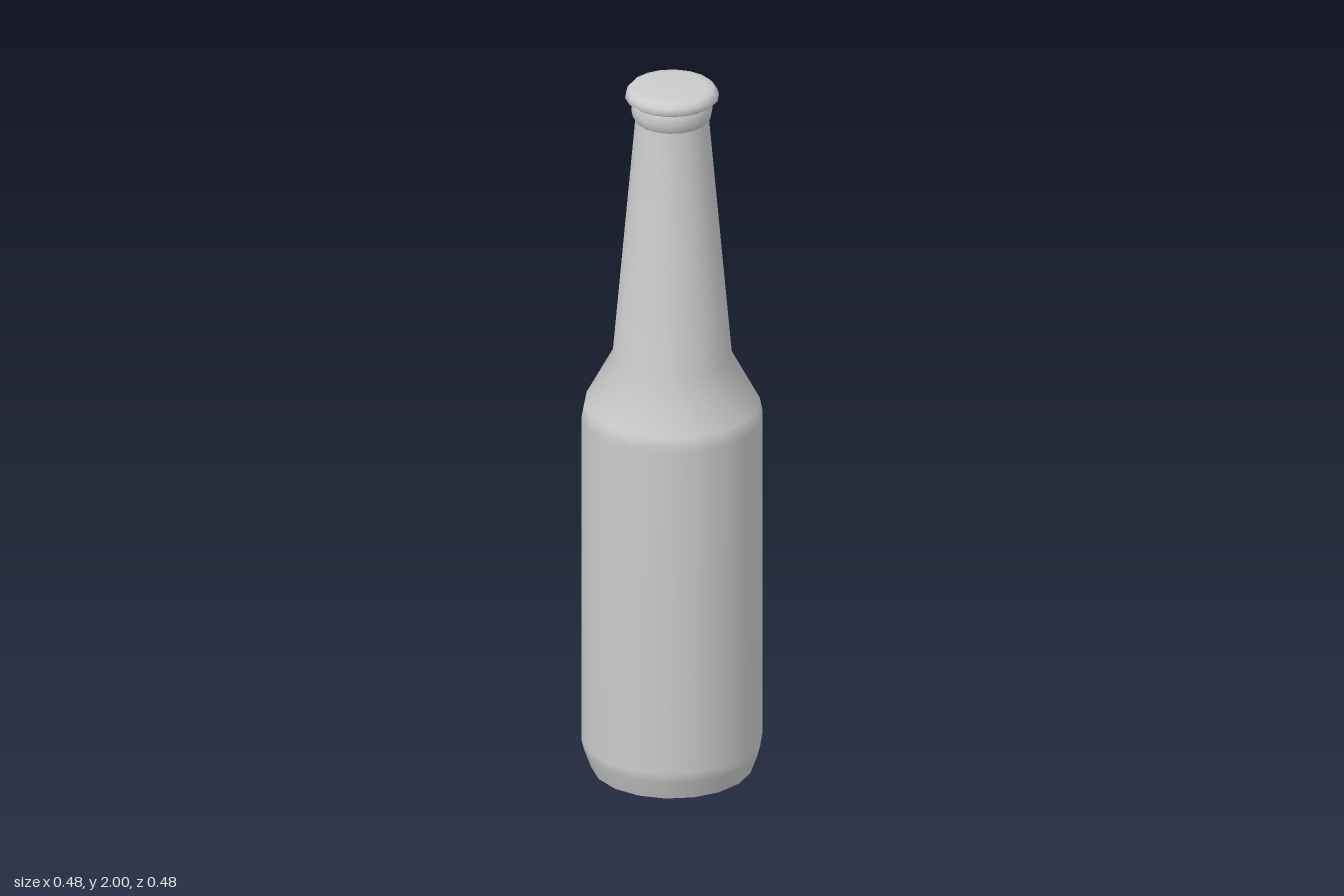
import * as THREE from 'three';

const SIDES = 18;
const TURN = THREE.MathUtils.degToRad(5);

export function createModel() {
  const group = new THREE.Group();
  const material = new THREE.MeshStandardMaterial({ color: 0xcccccc });

  // Revolve a [radius, height] profile, listed from bottom to top
  const revolve = (name, profile) => {
    const points = profile.map(([r, y]) => new THREE.Vector2(r, y));
    const mesh = new THREE.Mesh(new THREE.LatheGeometry(points, SIDES, TURN), material);
    mesh.name = name;
    group.add(mesh);
  };

  // Flat underside
  revolve('base', [[0, 0], [0.216, 0]]);

  // Heel, body, shoulder and tapering neck
  revolve('bottle', [
    [0.216, 0], [0.236, 0.055], [0.243, 0.085],
    [0.243, 1.03], [0.235, 1.07], [0.16, 1.21], [0.098, 1.91],
  ]);

  // Rounded lip ring below the cap
  revolve('lip', [
    [0.097, 1.9], [0.105, 1.912], [0.109, 1.93], [0.107, 1.95], [0.1, 1.966],
  ]);

  // Flared cap with a slightly domed top
  revolve('cap', [
    [0.095, 1.962], [0.116, 1.96], [0.126, 1.968], [0.122, 1.983],
    [0.112, 1.994], [0.09, 1.998], [0, 2],
  ]);

  return group;
}
